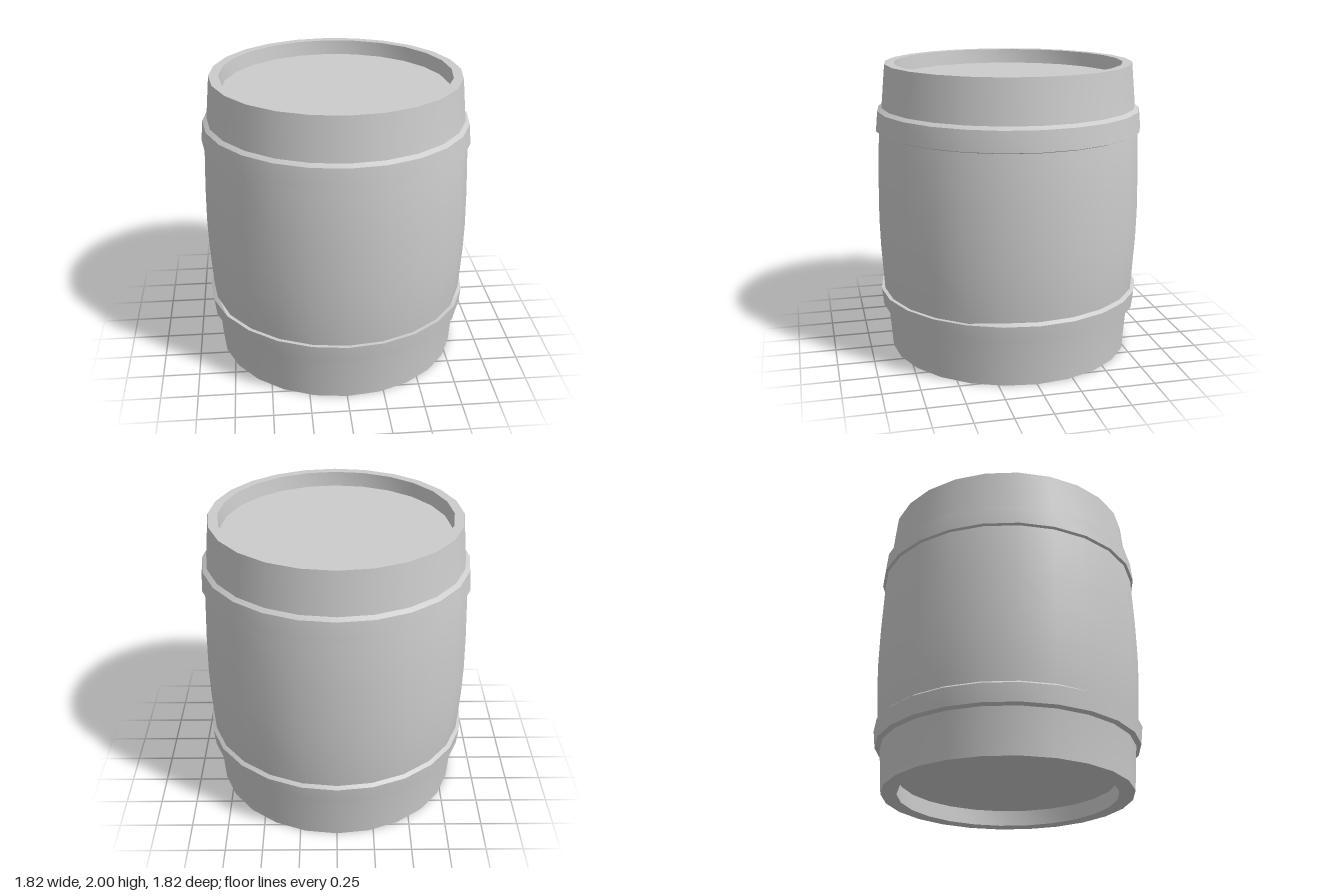
import * as THREE from 'three';
import { toCreasedNormals } from 'three/addons/utils/BufferGeometryUtils.js';

const SIDES = 24;
const material = new THREE.MeshStandardMaterial({ color: 0xcccccc });

// Revolve an outline of [radius, height] pairs; adjust may move vertices
function turned(name, outline, adjust) {
  const points = outline.map(([r, y]) => new THREE.Vector2(r, y));
  const geometry = new THREE.LatheGeometry(points, SIDES);
  if (adjust) adjust(geometry.attributes.position);
  const mesh = new THREE.Mesh(toCreasedNormals(geometry, 0.45), material);
  mesh.name = name;
  return mesh;
}

// Flat end panel set inside the rim
function head(name, radius, y, facing) {
  const mesh = new THREE.Mesh(new THREE.CircleGeometry(radius, SIDES), material);
  mesh.name = name;
  mesh.rotation.x = -facing * Math.PI / 2;
  mesh.position.y = y;
  return mesh;
}

export function createModel() {
  const barrel = new THREE.Group();
  barrel.name = 'barrel';

  // Bulging wall with both rims and the inner walls of the recesses
  barrel.add(turned('barrelWall', [
    [0.735, 0.11], [0.735, 0], [0.84, 0], [0.862, 0.3], [0.886, 0.45],
    [0.904, 0.75], [0.909, 0.95], [0.905, 1.2], [0.891, 1.55],
    [0.868, 1.71], [0.84, 2], [0.775, 2], [0.765, 1.9],
  ]));
  barrel.add(head('topHead', 0.765, 1.9, 1), head('bottomHead', 0.735, 0.11, -1));

  // Bevelled hoops, each widest towards the middle of the barrel
  barrel.add(turned('upperHoop', [
    [0.885, 1.545], [0.91, 1.555], [0.897, 1.69], [0.865, 1.712],
  ]));
  barrel.add(turned('lowerHoop', [
    [0.86, 0.303], [0.897, 0.315], [0.91, 0.435], [0.884, 0.455],
  ], (position) => {
    // The upper bevel is flattened along the front
    for (let i = 0; i < position.count; i++) {
      if (position.getY(i) > 0.44 && position.getZ(i) > 0.4) position.setY(i, 0.435);
    }
  }));
  return barrel;
}
